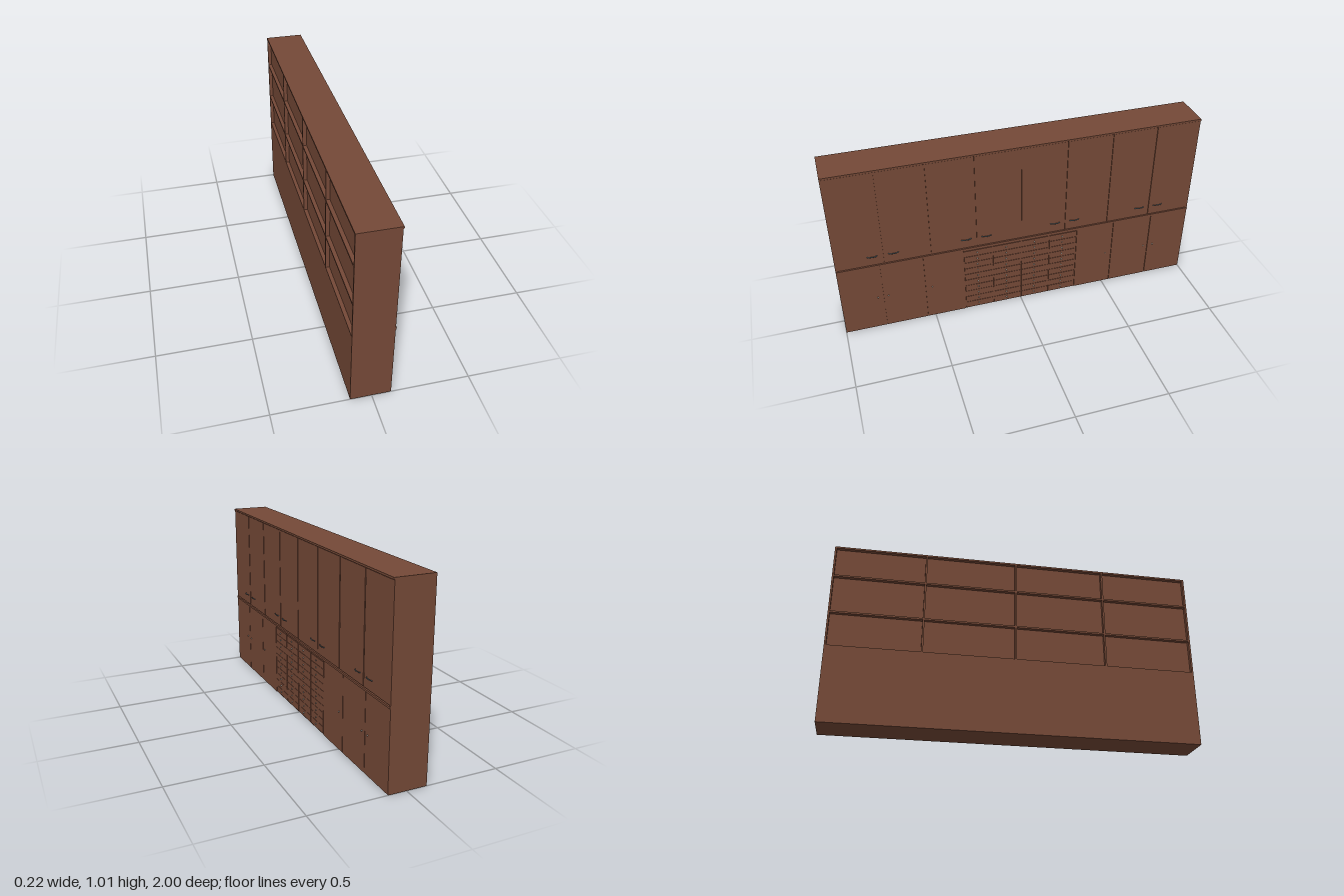
import * as THREE from 'three';

export function createModel() {
  const model = new THREE.Group();
  model.name = 'wallCabinet';

  const wood = new THREE.MeshStandardMaterial({ color: 0x754937 });
  wood.name = 'brown wood';
  const steel = new THREE.MeshStandardMaterial({ color: 0x56666c });
  steel.name = 'steel handle';
  const ivory = new THREE.MeshStandardMaterial({ color: 0xd6cfc4 });
  ivory.name = 'pale knob';

  // Box given by its limits on each axis
  function panel(name, [x0, x1], [y0, y1], [z0, z1], material = wood) {
    const mesh = new THREE.Mesh(new THREE.BoxGeometry(x1 - x0, y1 - y0, z1 - z0), material);
    mesh.position.set((x0 + x1) / 2, (y0 + y1) / 2, (z0 + z1) / 2);
    mesh.name = name;
    model.add(mesh);
    return mesh;
  }

  const BACK = -0.108, BODY = 0.093, DOOR = 0.098, TOP = 1.01, SPLIT = 0.428;
  const RECESS = BACK + 0.02, T = 0.01, GAP = 0.003;

  // Carcass: solid base, upper core and the panels framing the open back
  panel('baseCarcass', [BACK, BODY], [0, 0.418], [-1, 1]);
  panel('upperCore', [RECESS, BODY], [0.418, TOP - T], [-1 + T, 1 - T]);
  panel('topPanel', [BACK, DOOR], [TOP - T, TOP], [-1, 1]);
  for (const s of [-1, 1]) {
    const inner = s * (1 - T);
    panel('endPanel', [BACK, DOOR], [0.418, TOP - T], [Math.min(s, inner), Math.max(s, inner)]);
  }

  // Shelves and dividers showing at the back
  for (const y of [0.611, 0.829]) {
    panel('shelf', [BACK, RECESS], [y - T / 2, y + T / 2], [-1 + T, 1 - T]);
  }
  for (const z of [-0.5, 0, 0.5]) {
    panel('divider', [BACK, RECESS], [0.418, TOP - T], [z - T / 2, z + T / 2]);
  }

  // Trim strips along the front
  panel('topTrim', [BODY, 0.102], [TOP - T, TOP], [-1, 1]);
  panel('middleTrim', [BODY, 0.102], [SPLIT - 0.006, SPLIT + 0.005], [-1, 1]);

  // Upper doors
  for (let i = 0; i < 8; i++) {
    const z = -1 + i * 0.25;
    panel('upperDoor', [BODY, DOOR], [SPLIT + 0.009, TOP - T - GAP], [z + GAP, z + 0.25 - GAP]);
  }

  // Arched handles on the upper doors
  for (const pair of [-0.75, -0.25, 0.25, 0.75]) {
    for (const s of [-1, 1]) {
      const arch = new THREE.CatmullRomCurve3([
        new THREE.Vector3(DOOR - 0.001, 0, -0.027),
        new THREE.Vector3(0.103, 0, -0.018),
        new THREE.Vector3(0.105, 0, 0),
        new THREE.Vector3(0.103, 0, 0.018),
        new THREE.Vector3(DOOR - 0.001, 0, 0.027),
      ]);
      const handle = new THREE.Mesh(new THREE.TubeGeometry(arch, 16, 0.0025, 8), steel);
      handle.position.set(0, 0.493, pair + s * 0.056);
      handle.name = 'upperHandle';
      model.add(handle);
    }
  }

  // Small round knob turned to face +x
  const knobProfile = [[0, 0], [0.002, 0], [0.002, 0.003], [0.004, 0.0045], [0.0035, 0.007], [0, 0.008]];
  const knobGeometry = new THREE.LatheGeometry(knobProfile.map(([r, h]) => new THREE.Vector2(r, h)), 12);
  knobGeometry.rotateZ(-Math.PI / 2);
  function knob(name, y, z) {
    const mesh = new THREE.Mesh(knobGeometry, ivory);
    mesh.position.set(DOOR - 0.001, y, z);
    mesh.name = name;
    model.add(mesh);
  }

  // Lower doors, three on each side of the drawers
  const edges = [0.325, 0.545, 0.775, 1];
  const doorKnobs = [0.508, 0.748, 0.805];
  for (const s of [-1, 1]) {
    for (let i = 0; i < 3; i++) {
      const z = [s * (edges[i] + GAP / 2), s * (edges[i + 1] - (i < 2 ? GAP / 2 : 0))].sort((a, b) => a - b);
      panel('lowerDoor', [BODY, DOOR], [0.002, SPLIT - 0.009], z);
      knob('doorKnob', 0.212, s * doorKnobs[i]);
    }
  }

  // Four columns of ten drawers
  const width = 0.65 / 4, step = 0.0405;
  panel('drawerRail', [BODY, DOOR], [0.413, SPLIT - 0.006], [-0.325, 0.325]);
  for (let c = 0; c < 4; c++) {
    const z = -0.325 + c * width;
    for (let r = 0; r < 10; r++) {
      const y = 0.006 + r * step;
      panel('drawer', [BODY, DOOR], [y + 0.001, y + step - 0.001], [z + GAP, z + width - GAP]);
      knob('drawerKnob', y + step / 2 + 0.003, z + width / 2 + 0.005);
    }
  }

  return model;
}
